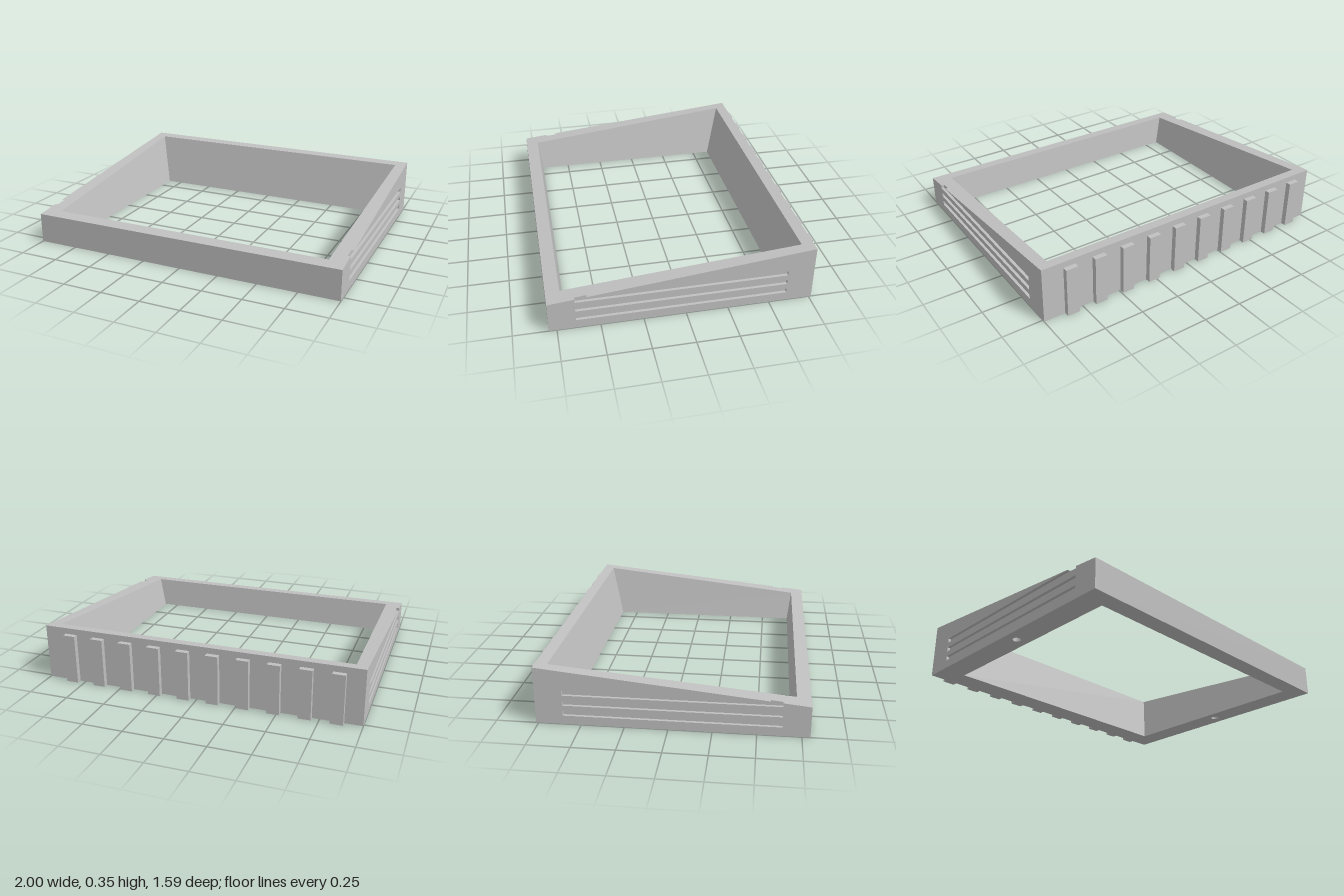
import * as THREE from 'three';

const FRONT = 0.797, BACK = -0.765;      // z extents of the body
const SKIN = 0.018;                      // depth of the side slots
const LOW = 0.188, SLOPE = 0.102;        // height at the front edge, rise towards the back
const topY = z => LOW + (FRONT - z) * SLOPE;

// Four corners of a ring, anticlockwise from front left as seen from above
const ring = (xf, xb, zf, zb, y) =>
  [[-xf, zf], [xf, zf], [xb, zb], [-xb, zb]].map(([x, z]) => [x, y(z), z]);

// Joins successive rings with flat quads
function bands(rings) {
  const pos = [];
  for (let r = 0; r < rings.length - 1; r++) {
    const a = rings[r], b = rings[r + 1];
    for (let i = 0; i < 4; i++) {
      const j = (i + 1) % 4;
      pos.push(...a[i], ...a[j], ...b[j], ...a[i], ...b[j], ...b[i]);
    }
  }
  const g = new THREE.BufferGeometry();
  g.setAttribute('position', new THREE.Float32BufferAttribute(pos, 3));
  g.computeVertexNormals();
  return g;
}

const vecs = pts => pts.map(([x, y]) => new THREE.Vector2(x, y));

export function createModel() {
  const model = new THREE.Group();
  model.name = 'slopedFrame';
  const grey = new THREE.MeshStandardMaterial({ color: 0xc0c0c0 });
  grey.name = 'light grey';
  const add = (name, geometry, x = 0, y = 0, z = 0) => {
    const mesh = new THREE.Mesh(geometry, grey);
    mesh.name = name;
    mesh.position.set(x, y, z);
    model.add(mesh);
  };

  // Wedge-shaped frame: outer walls, sloping rim and flared opening
  const core = 1 - SKIN, zero = () => 0;
  const innerBottom = ring(0.85, 0.85, 0.69, -0.615, zero);
  add('frameWalls', bands([
    ring(core, core, FRONT, BACK, zero),
    ring(core, core, FRONT, BACK, topY),
    ring(0.897, 0.93, 0.715, -0.697, topY),
    innerBottom,
  ]));

  // Underside with the opening and two screw holes
  const holeR = 0.026, holeX = 0.923, holeZ = 0.04, holeDepth = 0.1;
  const base = new THREE.Shape(vecs([[-core, BACK], [core, BACK], [core, FRONT], [-core, FRONT]]));
  base.holes.push(new THREE.Path(vecs(innerBottom.map(p => [p[0], p[2]]))));
  for (const s of [-1, 1]) {
    base.holes.push(new THREE.Path().absarc(s * holeX, holeZ, holeR, 0, Math.PI * 2));
  }
  add('underside', new THREE.ShapeGeometry(base, 24).rotateX(Math.PI / 2));

  // Blind screw holes, facing inwards
  const hole = new THREE.LatheGeometry(
    vecs([[0, holeDepth], [holeR, holeDepth], [holeR, 0]]), 24).toNonIndexed();
  hole.computeVertexNormals();
  for (const s of [-1, 1]) add('screwHole', hole, s * holeX, 0, holeZ);

  // Side skins with three slots; the top slot breaks out through the slope
  const slotF = 0.64, slotB = -0.605, slotH = 0.03, topSlot = 0.181;
  const exitY = topSlot + slotH, exitZ = FRONT - (exitY - LOW) / SLOPE;
  const skin = new THREE.Shape(vecs([
    [FRONT, 0], [FRONT, LOW], [slotF, topY(slotF)], [slotF, topSlot],
    [slotB, topSlot], [slotB, exitY], [exitZ, exitY], [BACK, topY(BACK)], [BACK, 0],
  ]));
  for (const y of [0.054, 0.1175]) {
    skin.holes.push(new THREE.Path(vecs([
      [slotB, y], [slotF, y], [slotF, y + slotH], [slotB, y + slotH],
    ])));
  }
  const skinGeometry = new THREE.ExtrudeGeometry(skin, { depth: SKIN, bevelEnabled: false })
    .rotateY(-Math.PI / 2);
  add('leftSlottedSide', skinGeometry, 1);
  add('rightSlottedSide', skinGeometry, -core);

  // Row of upright ribs across the back
  const ribH = 0.31, ribD = FRONT + BACK;
  const rib = new THREE.BoxGeometry(0.077, ribH, ribD);
  for (let i = 0; i < 10; i++) {
    add('backRib', rib, -0.853 + i * 0.1866, ribH / 2, BACK - ribD / 2);
  }
  return model;
}
